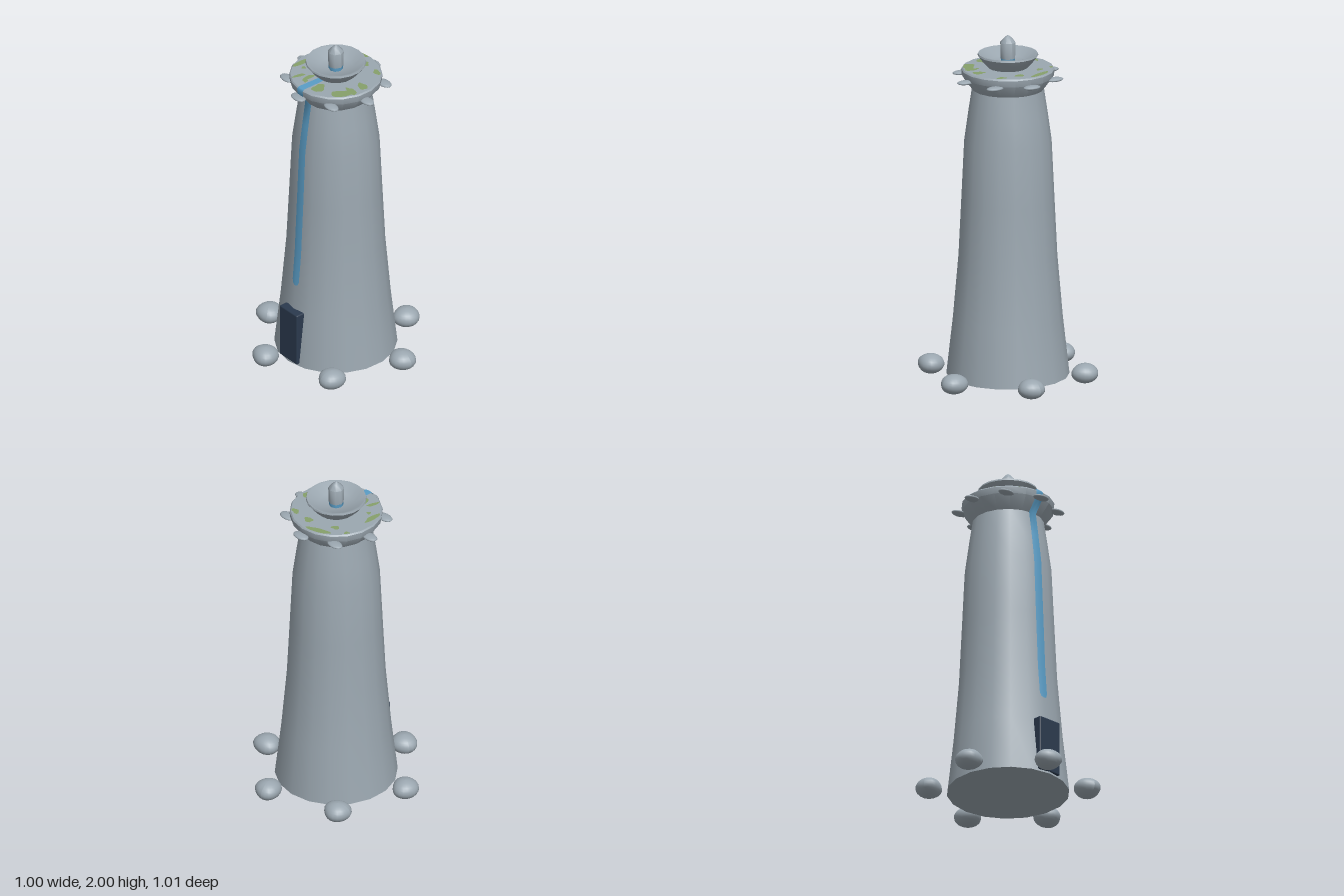
import * as THREE from 'three';
import { toCreasedNormals } from 'three/addons/utils/BufferGeometryUtils.js';
import { RoundedBoxGeometry } from 'three/addons/geometries/RoundedBoxGeometry.js';

const SIDES = 18;
const mat = (name, color, side = THREE.FrontSide) => {
  const m = new THREE.MeshStandardMaterial({ color, side });
  m.name = name;
  return m;
};

export function createModel() {
  const model = new THREE.Group();
  model.name = 'stoneTower';
  const stone = mat('stone', 0x9ba7b0);
  const water = mat('water', 0x5a9dc6, THREE.DoubleSide);
  const moss = mat('moss', 0x86a06a, THREE.DoubleSide);
  const darkDoor = mat('darkDoor', 0x2b3a4e);

  const add = (name, geometry, material, parent = model) => {
    const mesh = new THREE.Mesh(geometry, material);
    mesh.name = name;
    parent.add(mesh);
    return mesh;
  };
  const group = (name) => {
    const g = new THREE.Group();
    g.name = name;
    model.add(g);
    return g;
  };
  const lathe = (profile, sides, crease = 0.6) => toCreasedNormals(
    new THREE.LatheGeometry(profile.map(([r, y]) => new THREE.Vector2(r, y)), sides), crease);

  // Tapering shaft with a flared, flat-topped crown
  const wall = [[0.345, 0.03], [0.308, 0.36], [0.277, 0.72], [0.261, 1.05], [0.245, 1.39],
    [0.223, 1.55], [0.202, 1.69], [0.258, 1.765], [0.262, 1.802]];
  add('tower', lathe([[0, 0.03], ...wall, [0.255, 1.81], [0, 1.81]], SIDES), stone);

  // Basin and finial
  add('basin', lathe([[0, 1.808], [0.11, 1.813], [0.145, 1.85], [0.171, 1.884], [0.168, 1.894],
    [0.157, 1.893], [0.1, 1.85], [0, 1.84]], SIDES), stone);
  add('finial', lathe([[0.042, 1.865], [0.045, 1.957], [0.02, 1.985], [0, 2]], 8, 0.9), stone);
  add('finialWetBase', lathe([[0.04, 1.835], [0.042, 1.865]], 8, 0.9), water);

  // Water ribbon: three-point cross-sections folded over the front edge of the shaft
  const wallRadius = (y) => {
    const i = Math.max(1, wall.findIndex((p) => p[1] >= y));
    const [r0, y0] = wall[i - 1], [r1, y1] = wall[i];
    return r0 + (r1 - r0) * (y - y0) / (y1 - y0);
  };
  const rows = [[0.007, 0.517], [0.019, 0.524], [0.027, 0.545], [0.028, 0.72], [0.028, 1.05],
    [0.027, 1.39], [0.026, 1.55], [0.026, 1.69], [0.025, 1.765], [0.024, 1.802]]
    .map(([w, y]) => [w, y, wallRadius(y) + 0.004]);
  rows.push([0.023, 1.8135, 0.256], [0.02, 1.8135, 0.11]);
  const pos = [], index = [];
  rows.forEach(([w, y, z], i) => {
    const fold = w * Math.tan(Math.PI / SIDES);
    pos.push(-w, y, z - fold, 0, y, z, w, y, z - fold);
    if (i === 0) return;
    const a = 3 * (i - 1), b = 3 * i;
    for (const k of [0, 1]) index.push(a + k, a + k + 1, b + k + 1, a + k, b + k + 1, b + k);
  });
  const ribbon = new THREE.BufferGeometry();
  ribbon.setAttribute('position', new THREE.Float32BufferAttribute(pos, 3));
  ribbon.setIndex(index);
  ribbon.computeVertexNormals();
  add('waterStream', ribbon, water);

  // Moss patches on the crown: x, z, half width, half depth, turn
  const mossPatches = group('mossPatches');
  [[-0.085, -0.222, 0.07, 0.026, -0.4], [0.03, -0.185, 0.027, 0.022, 0], [-0.13, -0.13, 0.024, 0.016, -0.5],
    [0.143, -0.18, 0.03, 0.017, 0.2], [-0.215, -0.12, 0.018, 0.014, -0.6], [0.203, -0.025, 0.036, 0.025, 0.2],
    [0.205, 0.055, 0.045, 0.02, 0.1], [0.19, 0.115, 0.035, 0.062, 0.5], [-0.205, 0.09, 0.017, 0.062, 0],
    [-0.155, 0.105, 0.013, 0.012, 0], [-0.11, 0.18, 0.012, 0.042, 0.25], [-0.06, 0.15, 0.015, 0.045, 0],
    [-0.043, 0.185, 0.013, 0.014, 0], [0.06, 0.175, 0.032, 0.045, -0.3],
  ].forEach(([x, z, a, b, turn], n) => {
    const pts = [];
    for (let i = 0; i < 20; i++) {
      const t = i / 20 * Math.PI * 2;
      const k = 1 + 0.13 * Math.sin(3 * t + n) + 0.08 * Math.sin(5 * t + 2 * n);
      const u = a * k * Math.cos(t), v = b * k * Math.sin(t);
      const p = new THREE.Vector2(x + u * Math.cos(turn) - v * Math.sin(turn),
        -(z + u * Math.sin(turn) + v * Math.cos(turn)));
      pts.push(p.clampLength(0, 0.251));
    }
    const patch = new THREE.ShapeGeometry(new THREE.Shape(pts));
    add('mossPatch', patch.rotateX(-Math.PI / 2).translate(0, 1.8125, 0), moss, mossPatches);
  });

  // Flat pebbles set around the crown
  const crownPebbles = group('crownPebbles');
  const pebble = new THREE.SphereGeometry(1, 14, 8).scale(0.053, 0.012, 0.033);
  for (let i = 0; i < 8; i++) {
    const t = i * Math.PI / 4;
    add('crownPebble', pebble, stone, crownPebbles)
      .position.set(0.272 * Math.sin(t), 1.76, 0.272 * Math.cos(t));
  }

  // Uneven boulders around the foot
  const boulders = group('boulders');
  const boulder = new THREE.SphereGeometry(1, 20, 14);
  const p = boulder.attributes.position;
  for (let i = 0; i < p.count; i++) {
    const x = p.getX(i), y = p.getY(i), z = p.getZ(i);
    const t = Math.atan2(z, x);
    const k = 1 + 0.05 * (1 - y * y) * Math.sin(3 * t + y);
    p.setXYZ(i, 0.078 * x * k, 0.056 * y, 0.074 * z * k);
  }
  boulder.computeVertexNormals();
  for (let i = 0; i < 6; i++) {
    const t = (-12.6 + 60 * i) * Math.PI / 180;
    const b = add('boulder', boulder, stone, boulders);
    b.position.set(0.443 * Math.sin(t), 0.057, 0.443 * Math.cos(t));
    b.rotation.y = t * 1.7;
  }

  // Door
  add('door', new RoundedBoxGeometry(0.154, 0.325, 0.06, 2, 0.008), darkDoor).position.set(0, 0.204, 0.317);

  return model;
}
